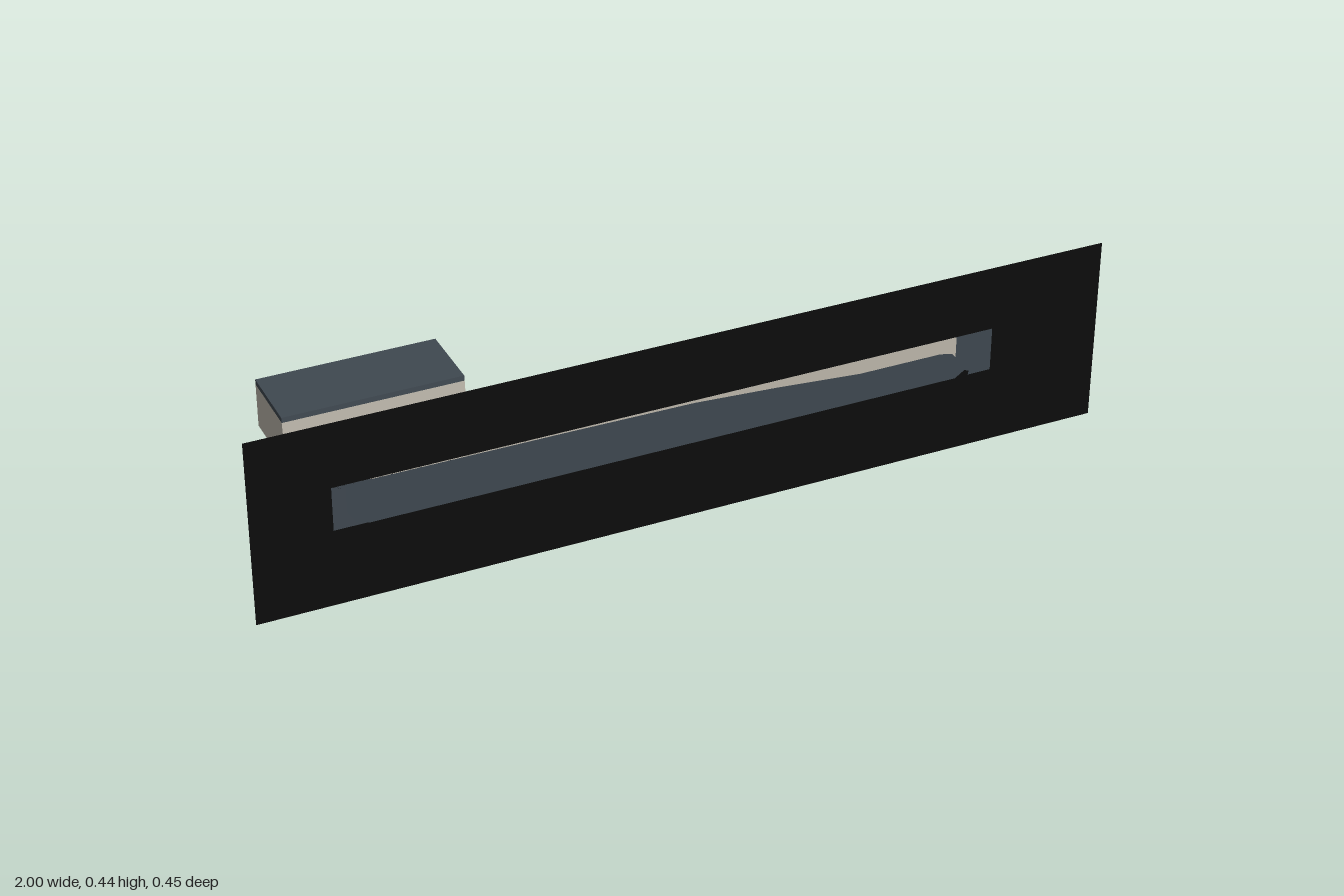
import * as THREE from 'three';

export function createModel() {
  const model = new THREE.Group();
  const mat = (name, color, side = THREE.FrontSide) => {
    const m = new THREE.MeshStandardMaterial({ color, side });
    m.name = name;
    return m;
  };
  const black = mat('black', 0x0c0c0c, THREE.DoubleSide);
  const slate = mat('slate', 0x3f4850);
  const beige = mat('beige', 0xbdb8ac);

  const add = (name, geometry, material, x = 0, y = 0, z = 0) => {
    const mesh = new THREE.Mesh(geometry, material);
    mesh.name = name;
    mesh.position.set(x, y, z);
    model.add(mesh);
  };

  // Prism along x from a [z, y] profile; each end may slant, given as [x at back, x at front]
  const prism = (profile, start, end) => {
    const shape = new THREE.Shape(profile.map(([z, y]) => new THREE.Vector2(-z, y)));
    const g = new THREE.ExtrudeGeometry(shape, { depth: 1, bevelEnabled: false });
    g.rotateY(Math.PI / 2);
    const p = g.attributes.position;
    for (let i = 0; i < p.count; i++) {
      const t = (p.getZ(i) - 0.122) / 0.104;
      const [back, front] = p.getX(i) > 0.5 ? end : start;
      p.setX(i, THREE.MathUtils.lerp(back, front, t));
    }
    g.computeVertexNormals();
    return g;
  };
  const level = (x) => [x, x];

  // Upright panel with the painted long shape on its front
  add('panel', new THREE.PlaneGeometry(2, 0.445), black, 0, 0.2225, 0.226);
  const streak = new THREE.Shape([
    [-0.79, 0.185 + 0.04], [-0.77, 0.192], [-0.74, 0.185], [0.64, 0.185], [0.67, 0.205],
    [0.63, 0.25], [0.6, 0.257], [0.4, 0.257], [0.2, 0.273], [0, 0.285],
    [-0.3, 0.288], [-0.79, 0.29], [-0.815, 0.28], [-0.81, 0.26],
  ].map(([x, y]) => new THREE.Vector2(x, y)));
  add('panelStreak', new THREE.ShapeGeometry(streak), slate, 0, 0, 0.228);

  // Long chamfered bar behind the panel, in colour bands
  const bar = [[0.226, 0.185], [0.226, 0.29], [0.15, 0.29], [0.122, 0.235], [0.122, 0.185]];
  const tailEdge = [-0.77, -0.735];
  const tipEdge = [0.68, 0.64];
  add('barTail', prism(bar, level(-0.82), tailEdge), slate);
  add('barMiddle', prism(bar, tailEdge, tipEdge), beige);
  add('barCollar', prism(bar, tipEdge, level(0.73)), slate);
  add('barTip', prism(bar, level(0.73), level(1)), black);
  add('barUnderside', new THREE.BoxGeometry(1.46, 0.004, 0.1), slate, -0.045, 0.184, 0.175);

  // Short arm joining the bar to the block
  add('arm', new THREE.BoxGeometry(0.04, 0.05, 0.172), beige, -0.69, 0.21, 0.036);
  add('armTopPatch', new THREE.BoxGeometry(0.04, 0.002, 0.04), black, -0.69, 0.2355, -0.03);

  // Rear block with a leaning front face and a dark cap
  const left = level(-0.83), right = level(-0.415);
  add('block', prism([[-0.044, 0.185], [-0.054, 0.29], [-0.227, 0.29], [-0.227, 0.185]], left, right), beige);
  add('blockCap', prism([[-0.054, 0.29], [-0.055, 0.302], [-0.227, 0.302], [-0.227, 0.29]], left, right), slate);
  add('blockUnderStripe', new THREE.BoxGeometry(0.36, 0.002, 0.05), slate, -0.64, 0.1845, -0.2);

  return model;
}
